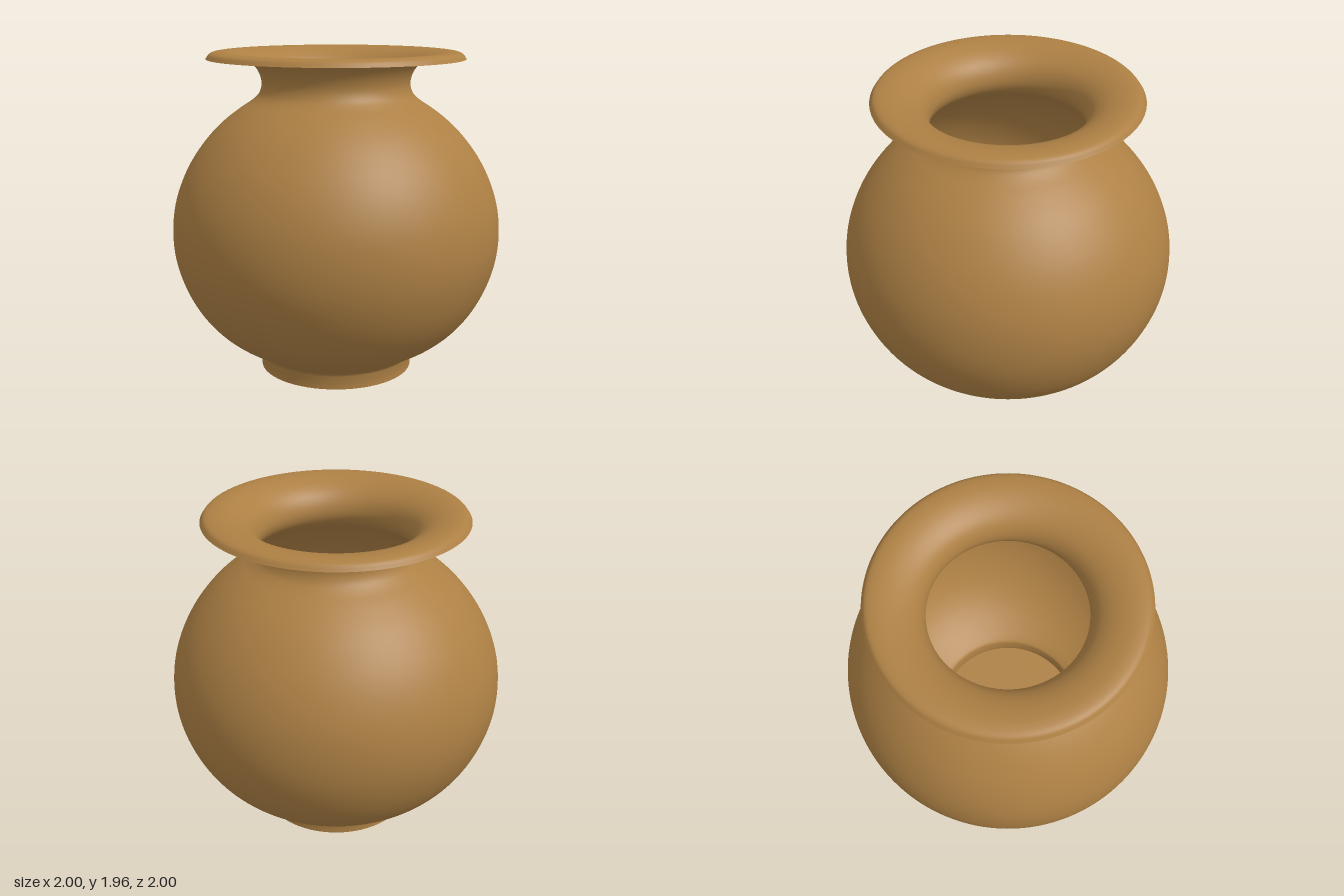
import * as THREE from 'three';

export function createModel() {
  const vase = new THREE.Group();
  vase.name = 'vase';
  const clay = new THREE.MeshStandardMaterial({ color: 0xad8044, side: THREE.DoubleSide });
  clay.name = 'brown clay';

  // Thin wall: foot, round belly, narrow neck and drooping lip
  const profile = [
    [0.472, 0], [0.472, 0.03], [0.476, 0.07], [0.482, 0.095], [0.51, 0.118],
    [0.57, 0.153], [0.67, 0.215], [0.765, 0.295], [0.852, 0.4], [0.927, 0.535],
    [0.982, 0.7], [1, 0.86], [0.985, 1.03], [0.94, 1.18], [0.87, 1.32],
    [0.775, 1.45], [0.685, 1.542], [0.585, 1.62], [0.503, 1.675], [0.465, 1.713],
    [0.447, 1.765], [0.456, 1.825], [0.488, 1.88], [0.54, 1.922], [0.61, 1.952],
    [0.69, 1.964], [0.75, 1.953], [0.775, 1.922],
  ].map(([r, y]) => new THREE.Vector3(r, y, 0));
  const points = new THREE.CatmullRomCurve3(profile, false, 'centripetal')
    .getPoints(140)
    .map((p) => new THREE.Vector2(p.x, p.y));
  const wall = new THREE.Mesh(new THREE.LatheGeometry(points, 128), clay);
  wall.name = 'wall';
  vase.add(wall);

  // Flat floor closing the foot
  const floor = new THREE.Mesh(new THREE.CircleGeometry(0.472, 128).rotateX(Math.PI / 2), clay);
  floor.name = 'floor';
  vase.add(floor);

  return vase;
}
